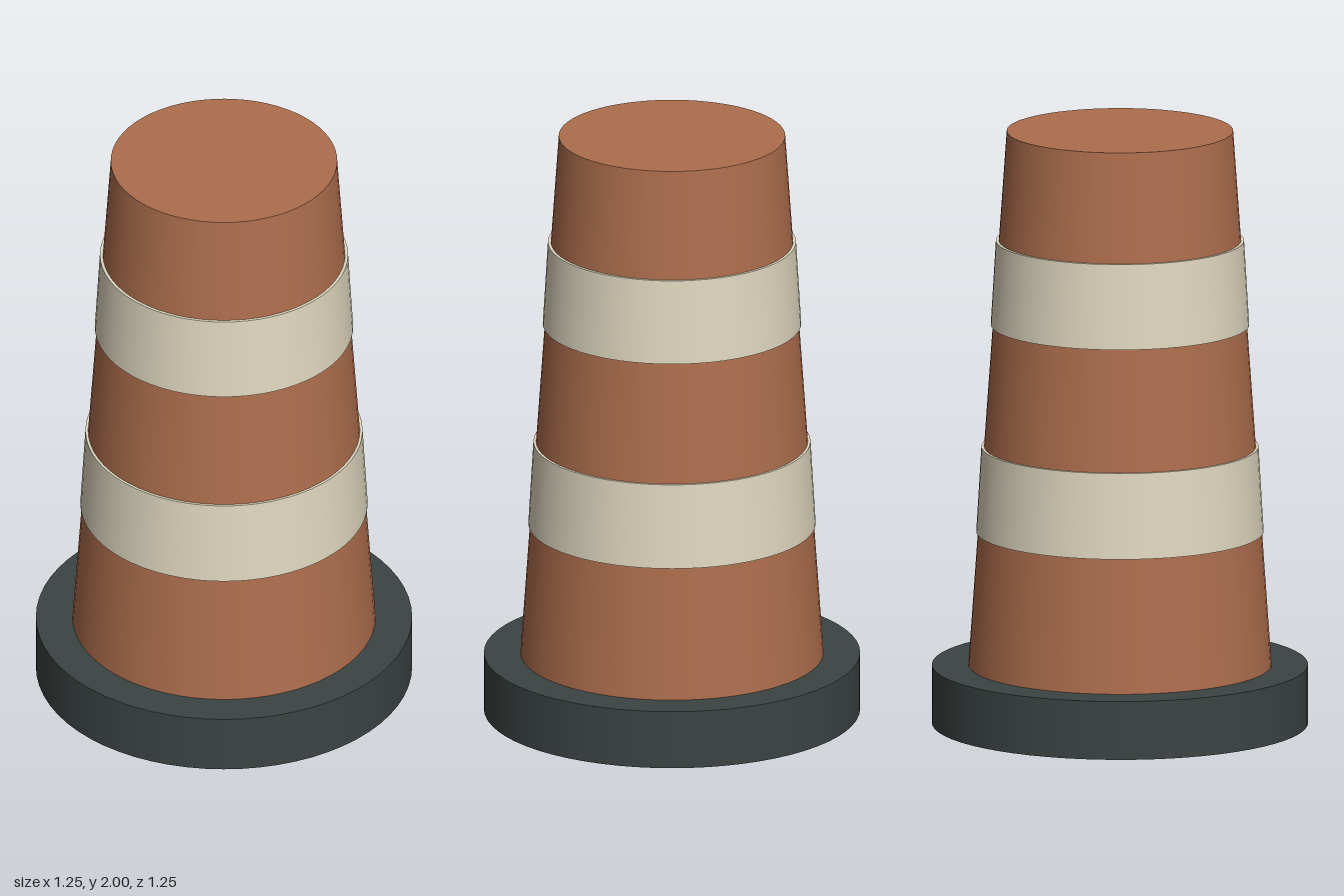
import * as THREE from 'three';

const SEGMENTS = 64;

export function createModel() {
  const model = new THREE.Group();
  model.name = 'trafficDrum';

  const makeMaterial = (name, color) => {
    const material = new THREE.MeshStandardMaterial({ color });
    material.name = name;
    return material;
  };
  const orange = makeMaterial('burnt orange', 0xae6e4d);
  const cream = makeMaterial('cream', 0xdfd7bf);
  const charcoal = makeMaterial('charcoal', 0x3b4443);

  // Upright tapered ring or disc between two heights
  const addFrustum = (name, material, y0, y1, r0, r1) => {
    const geometry = new THREE.CylinderGeometry(r1, r0, y1 - y0, SEGMENTS);
    const mesh = new THREE.Mesh(geometry, material);
    mesh.name = name;
    mesh.position.y = (y0 + y1) / 2;
    model.add(mesh);
  };

  // Heavy rubber foot
  addFrustum('base', charcoal, 0, 0.197, 0.623, 0.623);

  // Tapered drum
  addFrustum('body', orange, 0.197, 2, 0.502, 0.375);

  // Reflective bands, standing slightly proud of the drum
  addFrustum('lowerBand', cream, 0.647, 0.934, 0.476, 0.459);
  addFrustum('upperBand', cream, 1.345, 1.63, 0.428, 0.411);

  return model;
}
